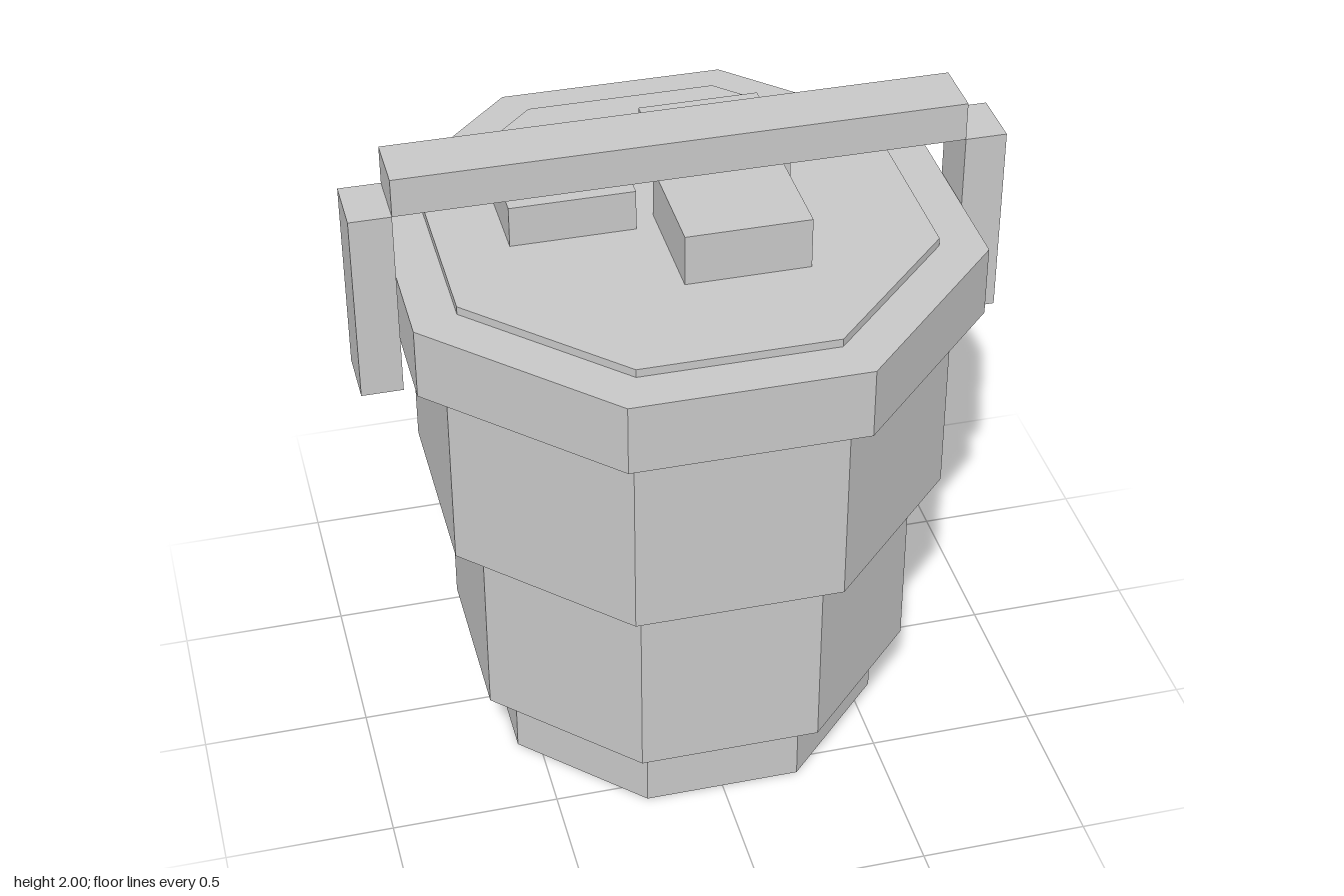
import * as THREE from 'three';

export function createModel() {
  const group = new THREE.Group();
  const grey = new THREE.MeshStandardMaterial({ color: 0xc8c8c8, flatShading: true });
  grey.name = 'light grey';

  function add(name, geometry, x, y, z) {
    const mesh = new THREE.Mesh(geometry, grey);
    mesh.name = name;
    mesh.position.set(x, y, z);
    group.add(mesh);
  }

  // Octagonal tier with flat sides facing the axes
  function tier(name, halfWidth, y0, y1) {
    const r = halfWidth / Math.cos(Math.PI / 8);
    const geometry = new THREE.CylinderGeometry(r, r, y1 - y0, 8).rotateY(Math.PI / 8);
    add(name, geometry, 0, (y0 + y1) / 2, 0);
  }

  function box(name, x0, x1, y0, y1, z0, z1) {
    add(name, new THREE.BoxGeometry(x1 - x0, y1 - y0, z1 - z0),
      (x0 + x1) / 2, (y0 + y1) / 2, (z0 + z1) / 2);
  }

  // Stepped bucket body, rim and raised contents
  tier('base', 0.565, 0, 0.232);
  tier('lowerBody', 0.65, 0.232, 0.843);
  tier('upperBody', 0.735, 0.843, 1.455);
  tier('rim', 0.82, 1.455, 1.67);
  tier('contents', 0.69, 1.67, 1.695);

  // Chunks resting on the contents
  box('chunkLeftBack', -0.49, -0.125, 1.695, 1.82, -0.335, 0.03);
  box('chunkRightBack', 0, 0.362, 1.695, 1.79, -0.46, -0.095);
  box('chunkFront', -0.062, 0.302, 1.695, 1.85, -0.03, 0.335);

  // Carrying handle
  box('handleBar', -0.823, 0.823, 1.883, 2, -0.09, 0.09);
  for (const side of [-1, 1]) {
    box('handleArm', side * 0.884 - 0.061, side * 0.884 + 0.061, 1.3, 1.883, -0.09, 0.09);
  }
  return group;
}
